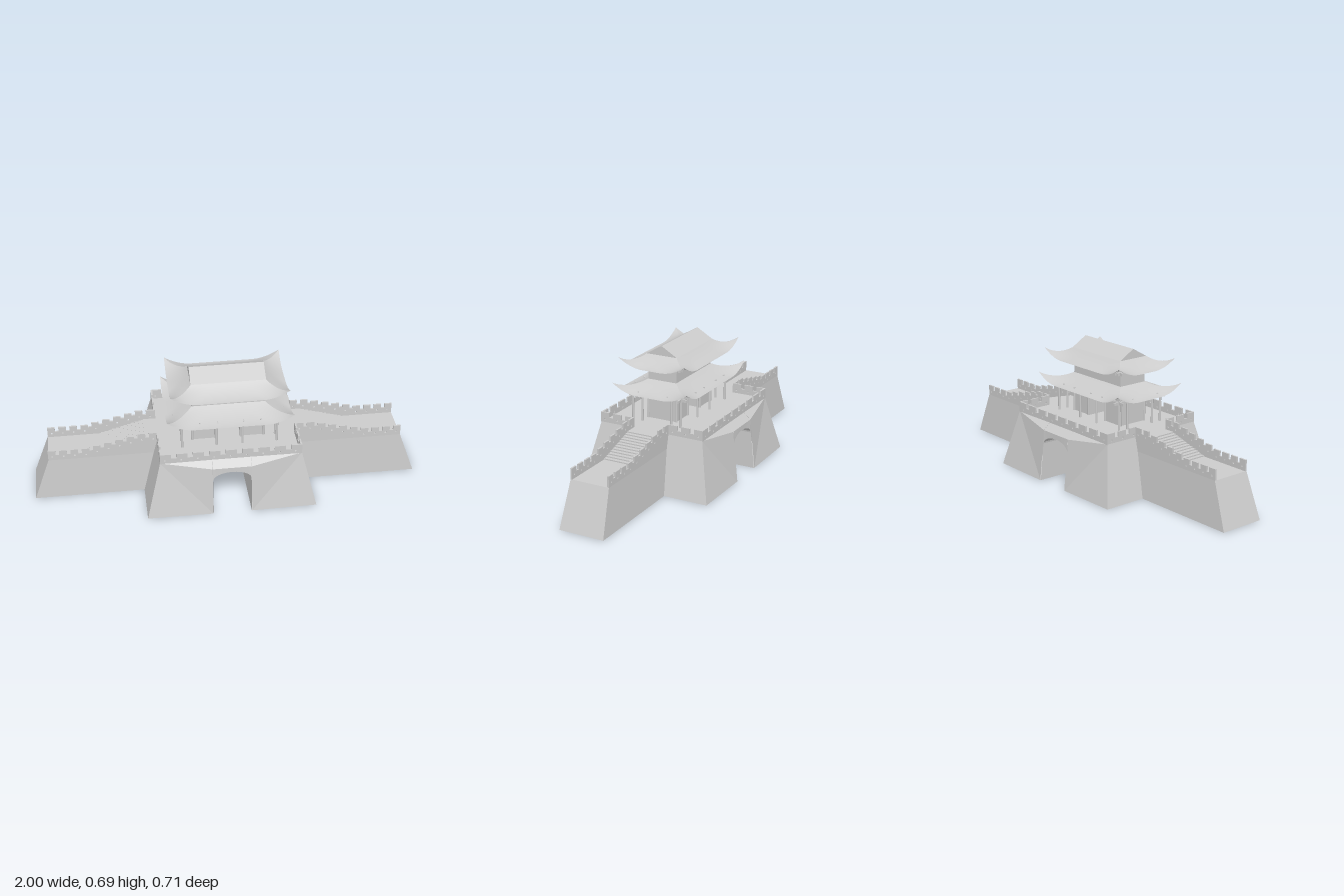
import * as THREE from 'three';

const mat = new THREE.MeshStandardMaterial({ color: 0xcccccc, side: THREE.DoubleSide });

function add(parent, geo, name, x = 0, y = 0, z = 0) {
  const m = new THREE.Mesh(geo, mat);
  m.name = name;
  m.position.set(x, y, z);
  parent.add(m);
  return m;
}

// Box given by its limits
function box(parent, name, x0, x1, y0, y1, z0, z1) {
  return add(parent, new THREE.BoxGeometry(x1 - x0, y1 - y0, z1 - z0), name,
    (x0 + x1) / 2, (y0 + y1) / 2, (z0 + z1) / 2);
}

// Flat-shaded surface from a list of four-cornered faces
function faces(list) {
  const pos = [];
  for (const [a, b, c, d] of list) pos.push(...a, ...b, ...c, ...a, ...c, ...d);
  const g = new THREE.BufferGeometry();
  g.setAttribute('position', new THREE.Float32BufferAttribute(pos, 3));
  g.computeVertexNormals();
  return g;
}

// Battlement wall along +x with n merlons and loopholes; top(i) is the merlon height
function battlement(parent, name, len, n, top) {
  const p = len / (n - 0.32), s = new THREE.Shape();
  s.moveTo(0, 0);
  for (let i = 0; i < n; i++) {
    const x0 = i * p, x1 = x0 + p * 0.68, t = top(i);
    s.lineTo(x0, t);
    s.lineTo(x1, t);
    if (i < n - 1) {
      s.lineTo(x1, t - 0.025);
      s.lineTo(x0 + p, t - 0.025);
    } else s.lineTo(x1, 0);
    const hx = x0 + p * 0.24, hy = t - 0.04, w = 0.008;
    const h = new THREE.Path();
    h.moveTo(hx, hy);
    h.lineTo(hx, hy + w);
    h.lineTo(hx + w, hy + w);
    h.lineTo(hx + w, hy);
    h.closePath();
    s.holes.push(h);
  }
  s.closePath();
  return add(parent, new THREE.ExtrudeGeometry(s, { depth: 0.009, bevelEnabled: false }), name);
}

// One curved slope of a hipped roof facing +z, lifted at the corners
function roofSlope(wIn, wOut, dIn, dOut, yTop, yEave, lift) {
  const g = new THREE.PlaneGeometry(2, 1, 40, 12), pos = g.attributes.position;
  for (let i = 0; i < pos.count; i++) {
    const s = pos.getX(i), t = 0.5 - pos.getY(i);
    const w = THREE.MathUtils.lerp(wIn, wOut, t);
    const corner = Math.max(0, 1 - (w - Math.abs(s) * w) / 0.14);
    const y = yEave + (yTop - yEave) * (1 - t) ** 1.6 + lift * t * t * corner * corner;
    pos.setXYZ(i, s * w, y, THREE.MathUtils.lerp(dIn, dOut, t));
  }
  g.computeVertexNormals();
  return g;
}

function hippedRoof(parent, name, a0, b0, a1, b1, yTop, yEave, lift) {
  for (let k = 0; k < 4; k++) {
    const g = k % 2 ? roofSlope(b0, b1, a0, a1, yTop, yEave, lift)
      : roofSlope(a0, a1, b0, b1, yTop, yEave, lift);
    add(parent, g, name).rotation.y = k * Math.PI / 2;
  }
}

// Frame of crossing beams with overshooting ends
function beamFrame(parent, name, hx, hz, over, y0, y1) {
  for (const s of [-1, 1]) {
    box(parent, name, -hx - over, hx + over, y0, y1, s * hz - 0.004, s * hz + 0.004);
    box(parent, name, s * hx - 0.004, s * hx + 0.004, y0, y1, -hz - over, hz + over);
  }
}

function gateBase() {
  const g = new THREE.Group();
  g.name = 'gateBase';
  // Battered masonry on both sides of the passage
  const masonry = [];
  for (const sx of [-1, 1]) {
    const P = (x, y, z) => [sx * x, y, z];
    for (const sz of [-1, 1]) {
      const A = P(0.1, 0, sz * 0.355), B = P(0.435, 0, sz * 0.352), C = P(0.1, 0.265, sz * 0.327);
      const D = P(0.36, 0.298, sz * 0.288), E = P(0.1, 0.298, sz * 0.29);
      masonry.push([A, B, D, C], [C, D, E, E]);
    }
    masonry.push([P(0.435, 0, 0.352), P(0.435, 0, -0.352), P(0.36, 0.298, -0.288), P(0.36, 0.298, 0.288)]);
    masonry.push([P(0.1, 0, 0.355), P(0.1, 0, -0.355), P(0.435, 0, -0.352), P(0.435, 0, 0.352)]);
  }
  add(g, faces(masonry), 'masonry');
  add(g, new THREE.PlaneGeometry(0.72, 0.576).rotateX(-Math.PI / 2), 'terrace', 0, 0.298, 0);

  // Arched passage and the panels above its mouths
  const arch = [[0.098, 0]], tunnel = [];
  for (let i = 0; i <= 16; i++) {
    const a = i / 16 * Math.PI;
    arch.push([0.098 * Math.cos(a), 0.195 + 0.045 * Math.sin(a)]);
  }
  arch.push([-0.098, 0]);
  const zAt = y => 0.353 - 0.028 * y / 0.265;
  for (let i = 0; i < arch.length - 1; i++) {
    const [x0, y0] = arch[i], [x1, y1] = arch[i + 1];
    tunnel.push([[x0, y0, zAt(y0)], [x1, y1, zAt(y1)], [x1, y1, -zAt(y1)], [x0, y0, -zAt(y0)]]);
    if (x0 === x1) continue;
    for (const s of [-1, 1]) {
      tunnel.push([[x0, y0, s * zAt(y0)], [x0, 0.265, s * 0.327], [x1, 0.265, s * 0.327], [x1, y1, s * zAt(y1)]]);
      tunnel.push([[x0, 0.265, s * 0.327], [x0, 0.298, s * 0.29], [x1, 0.298, s * 0.29], [x1, 0.265, s * 0.327]]);
    }
  }
  add(g, faces(tunnel), 'archedPassage');

  // Battlements around the terrace, open to the side walls
  for (const z of [0.281, -0.29]) {
    battlement(g, 'terraceBattlement', 0.72, 9, () => 0.055).position.set(-0.36, 0.295, z);
  }
  for (const x of [0.351, -0.36]) for (const z of [0.29, -0.1]) {
    const b = battlement(g, 'terraceBattlement', 0.19, 3, () => 0.055);
    b.rotation.y = Math.PI / 2;
    b.position.set(x, 0.295, z);
  }
  return g;
}

function sideWall() {
  const g = new THREE.Group();
  g.name = 'sideWall';
  const a = [[0.34, 0, 0.125], [1, 0, 0.125], [1, 0, -0.115], [0.34, 0, -0.115]];
  const b = [[0.34, 0.228, 0.109], [0.917, 0.228, 0.109], [0.917, 0.228, -0.1], [0.34, 0.228, -0.1]];
  const list = [b, [...a].reverse()];
  for (let i = 0; i < 3; i++) list.push([a[i], a[i + 1], b[i + 1], b[i]]);
  add(g, faces(list), 'rampart');
  // Steps up to the terrace
  const n = 12;
  for (let i = 0; i < n; i++) {
    box(g, 'step', 0.35, 0.64 - i * 0.02, 0.228 + i * 0.07 / n, 0.228 + (i + 1) * 0.07 / n, -0.093, 0.102);
  }
  // Battlements stepping down beside the stair
  const top = i => 0.058 + 0.066 * THREE.MathUtils.clamp((6 - i) / 5, 0, 1);
  for (const z of [0.1, -0.1]) {
    battlement(g, 'wallBattlement', 0.557, 10, top).position.set(0.36, 0.226, z);
  }
  return g;
}

function tower() {
  const g = new THREE.Group();
  g.name = 'tower';
  g.position.set(0.007, 0, 0.028);
  // Ground floor: two rooms joined by a lintel over the open middle
  for (const s of [-1, 1]) {
    add(g, new THREE.BoxGeometry(0.12, 0.16, 0.158), 'room', s * 0.125, 0.377, 0);
  }
  box(g, 'lintel', -0.066, 0.066, 0.412, 0.457, -0.079, 0.079);
  // Gallery columns and engaged corner columns
  const post = new THREE.CylinderGeometry(0.006, 0.006, 0.155, 10);
  const strut = new THREE.BoxGeometry(0.006, 0.006, 0.05);
  for (const sx of [-1, 1]) for (const sz of [-1, 1]) {
    for (const [x, z] of [[0.243, 0.138], [0.066, 0.138], [0.243, 0.083], [0.185, 0.081], [0.066, 0.081]]) {
      add(g, post, 'column', sx * x, 0.375, sz * z);
    }
    // Eave struts
    for (const x of [0.243, 0.155, 0.066]) {
      add(g, strut, 'eaveStrut', sx * x, 0.455, sz * 0.155).rotation.x = sz * -0.35;
    }
    add(g, strut, 'eaveStrut', sx * 0.262, 0.455, sz * 0.083).rotation.set(0, Math.PI / 2, sx * 0.35, 'ZYX');
    // Tie beams from room to gallery
    box(g, 'tieBeam', sx * 0.066 - 0.004, sx * 0.066 + 0.004, 0.436, 0.449, sz * 0.11 - 0.06, sz * 0.11 + 0.06);
    for (const x of [0.185, 0.066]) {
      box(g, 'upperBracket', sx * x - 0.004, sx * x + 0.004, 0.571, 0.585, sz * 0.1 - 0.018, sz * 0.1 + 0.018);
    }
  }
  beamFrame(g, 'galleryBeam', 0.243, 0.138, 0.034, 0.436, 0.45);
  hippedRoof(g, 'lowerRoof', 0.187, 0.081, 0.32, 0.213, 0.506, 0.453, 0.05);
  // Upper floor
  box(g, 'upperFloor', -0.185, 0.185, 0.452, 0.6, -0.081, 0.081);
  beamFrame(g, 'upperBeam', 0.205, 0.1, 0.018, 0.572, 0.587);
  hippedRoof(g, 'upperRoof', 0.19, 0.086, 0.298, 0.188, 0.64, 0.587, 0.048);
  // Gabled crown of the upper roof
  const tri = new THREE.Shape([[-0.086, 0.64], [0.086, 0.64], [0, 0.69]].map(p => new THREE.Vector2(...p)));
  const gable = new THREE.ExtrudeGeometry(tri, { depth: 0.38, bevelEnabled: false });
  add(g, gable.translate(0, 0, -0.19).rotateY(Math.PI / 2), 'gableRoof');
  return g;
}

export function createModel() {
  const model = new THREE.Group();
  model.name = 'fortifiedGate';
  const left = sideWall(), right = sideWall();
  right.rotation.y = Math.PI;
  model.add(gateBase(), left, right, tower());
  return model;
}
